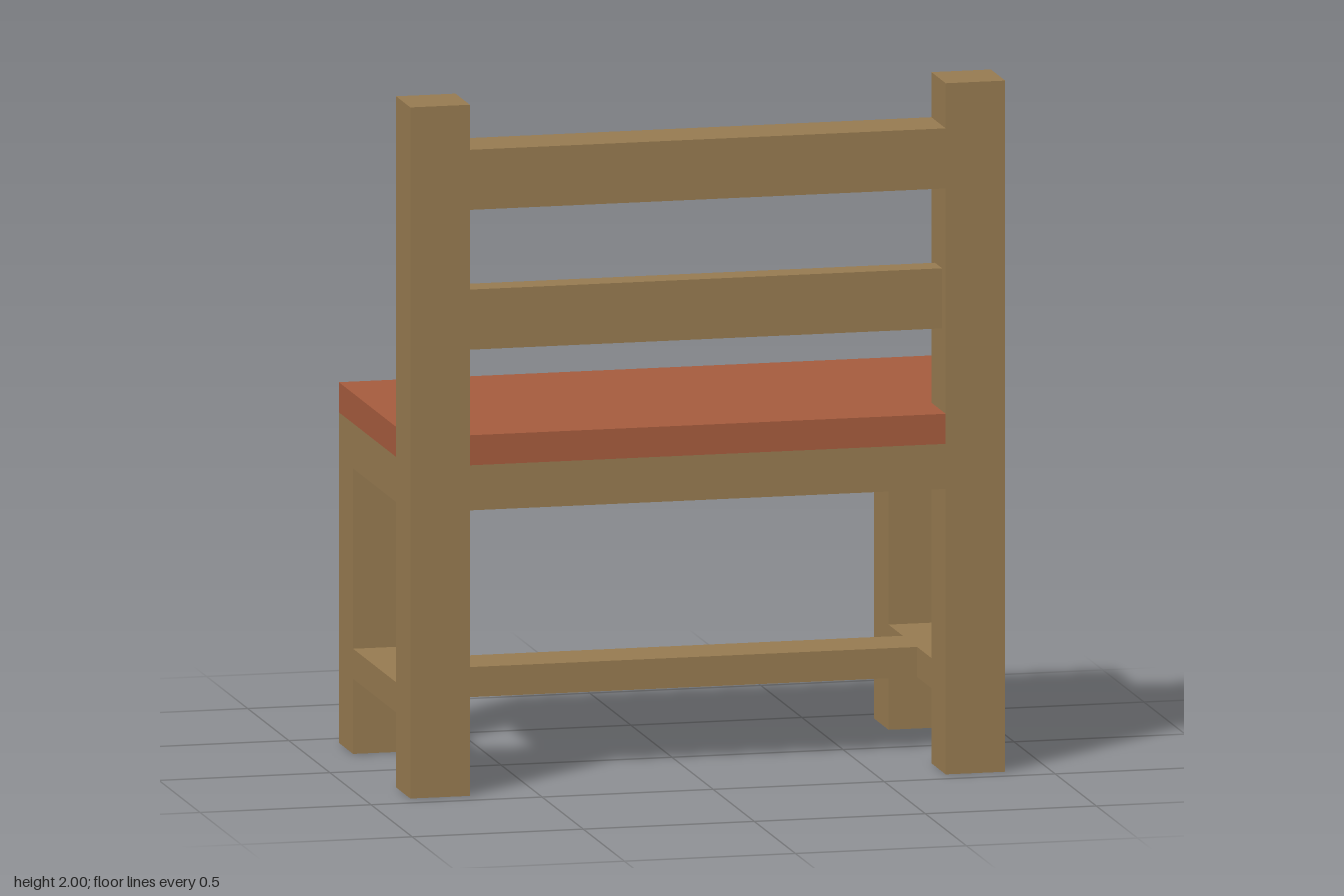
import * as THREE from 'three';

const U = 2 / 46;            // grid unit: every part is a whole number of these
const W = 20 * U;            // half width
const D = 10 * U;            // half depth
const T = 4 * U;             // post thickness

export function createModel() {
  const bench = new THREE.Group();
  bench.name = 'bench';
  const wood = new THREE.MeshStandardMaterial({ color: 0x967a50 });
  const red = new THREE.MeshStandardMaterial({ color: 0xa55b3d });

  const add = (name, geometry, material) => {
    const mesh = new THREE.Mesh(geometry, material);
    mesh.name = name;
    bench.add(mesh);
  };

  // Box given by its extents along each axis
  const box = (name, [x0, x1], [y0, y1], [z0, z1]) => {
    const g = new THREE.BoxGeometry(x1 - x0, y1 - y0, z1 - z0);
    g.translate((x0 + x1) / 2, (y0 + y1) / 2, (z0 + z1) / 2);
    add(name, g, wood);
  };

  // Seat outline, notched around the two tall posts
  const outline = new THREE.Shape([
    [-W, -D], [W, -D], [W, D - T], [W - T, D - T],
    [W - T, D], [T - W, D], [T - W, D - T], [-W, D - T],
  ].map(([x, z]) => new THREE.Vector2(x, z)));
  const slab = (name, y0, y1, material) => {
    const g = new THREE.ExtrudeGeometry(outline, { depth: y1 - y0, bevelEnabled: false });
    g.rotateX(Math.PI / 2).translate(0, y1, 0);
    add(name, g, material);
  };

  const frameBottom = 19 * U, frameTop = 22 * U, seatTop = 24 * U;
  slab('seatFrame', frameBottom, frameTop, wood);
  slab('seat', frameTop, seatTop, red);

  // Posts, legs and side stretchers, mirrored left and right
  const stretcherY = [5 * U, 7 * U];
  for (const [side, x] of [['left', [W - T, W]], ['right', [-W, T - W]]]) {
    box(side + 'BackrestPost', x, [0, 2], [D - T, D]);
    box(side + 'Leg', x, [0, frameBottom], [-D, T - D]);
    box(side + 'SideStretcher', x, stretcherY, [T - D, D - T]);
  }

  // Long stretcher joining the side stretchers
  const inner = [T - W, W - T];
  box('longStretcher', inner, stretcherY, [-T / 2, T / 2]);

  // Backrest rails: the upper one flush, the lower one thinner and centred
  box('topRail', inner, [39 * U, 43 * U], [D - T, D]);
  box('middleRail', inner, [29.5 * U, 33.5 * U], [D - 3 * U, D - U]);

  return bench;
}
